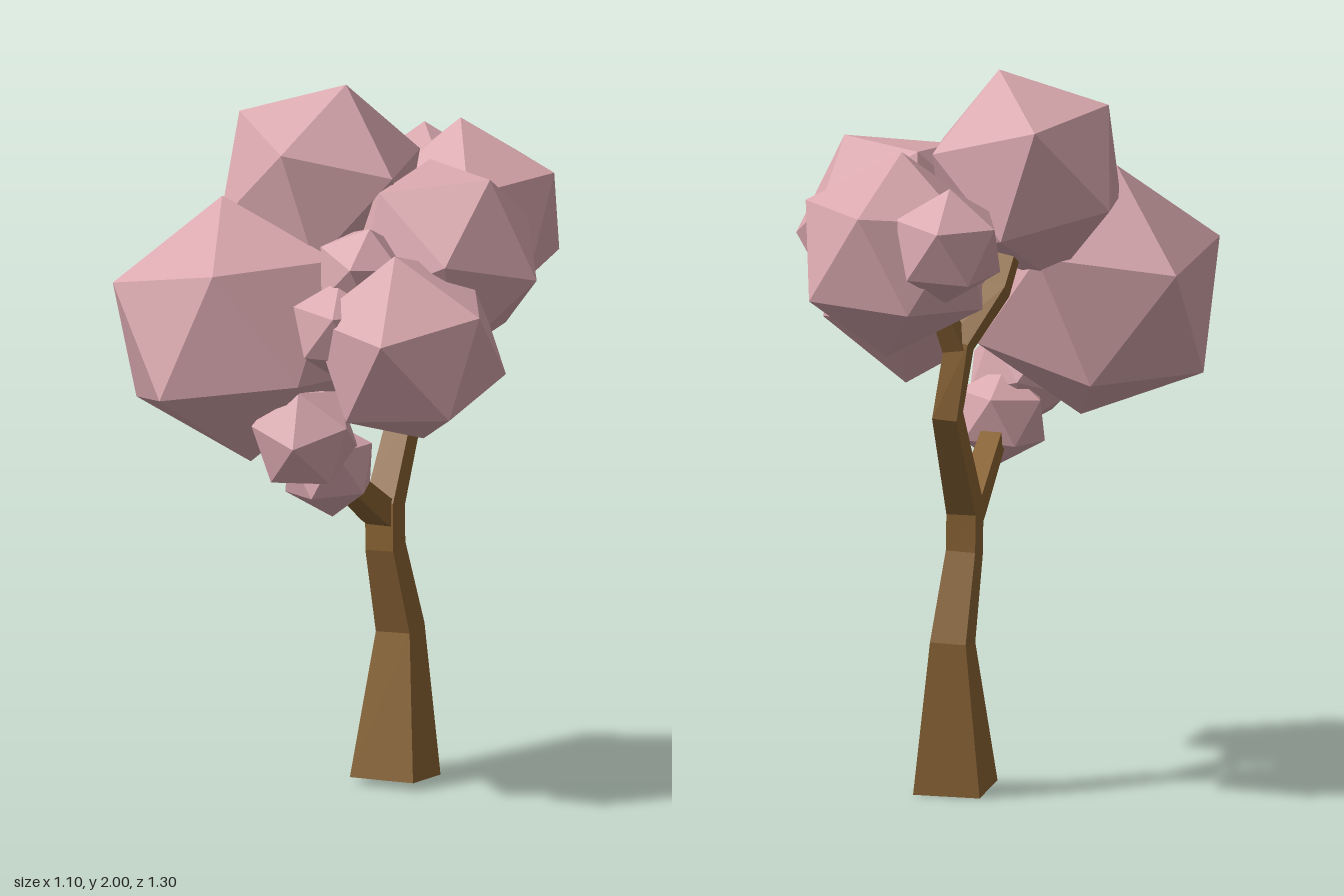
import * as THREE from 'three';

const barkMaterial = new THREE.MeshStandardMaterial({ color: 0x8b6535, flatShading: true });
const leafMaterial = new THREE.MeshStandardMaterial({ color: 0xd9a8ae, flatShading: true });

// Foliage clump: an icosahedron turned so that two neighbouring corners point along a and b
function clump(name, center, radius, a, b) {
  const va = new THREE.Vector3(...a).normalize();
  const vb = new THREE.Vector3(...b).normalize();
  const xAxis = vb.clone().sub(va).normalize();
  const yAxis = va.clone().add(vb).normalize();
  const zAxis = xAxis.clone().cross(yAxis).normalize();
  const geometry = new THREE.IcosahedronGeometry(radius, 0);
  geometry.applyMatrix4(new THREE.Matrix4().makeBasis(xAxis, yAxis, zAxis));
  const mesh = new THREE.Mesh(geometry, leafMaterial);
  mesh.name = name;
  mesh.position.set(...center);
  return mesh;
}

// Four-sided limb: sections of [x, y, z, half width], each tilted to follow the limb
function limb(name, sections) {
  const points = sections.map(s => new THREE.Vector3(s[0], s[1], s[2]));
  const last = points.length - 1;
  const positions = [];
  const indices = [];
  points.forEach((p, i) => {
    const tangent = new THREE.Vector3();
    if (i > 0) tangent.add(p.clone().sub(points[i - 1]).normalize());
    if (i < last) tangent.add(points[i + 1].clone().sub(p).normalize());
    tangent.normalize();
    const normal = new THREE.Vector3(1, 0, 0).cross(tangent).normalize();
    const side = tangent.clone().cross(normal).normalize();
    const h = sections[i][3];
    for (const [u, v] of [[1, 1], [1, -1], [-1, -1], [-1, 1]]) {
      const corner = p.clone().addScaledVector(side, u * h).addScaledVector(normal, v * h);
      positions.push(corner.x, corner.y, corner.z);
    }
  });
  for (let i = 0; i < last; i++) {
    for (let j = 0; j < 4; j++) {
      const a = i * 4 + j;
      const b = i * 4 + (j + 1) % 4;
      indices.push(a, b, b + 4, a, b + 4, a + 4);
    }
  }
  const t = last * 4;
  indices.push(0, 3, 2, 0, 2, 1, t, t + 1, t + 2, t, t + 2, t + 3);
  const geometry = new THREE.BufferGeometry();
  geometry.setAttribute('position', new THREE.Float32BufferAttribute(positions, 3));
  geometry.setIndex(indices);
  const flat = geometry.toNonIndexed();
  flat.computeVertexNormals();
  const mesh = new THREE.Mesh(flat, barkMaterial);
  mesh.name = name;
  return mesh;
}

export function createModel() {
  const tree = new THREE.Group();
  tree.name = 'tree';

  // Trunk running on into the rear branch, which leans forward into the crown
  const wood = new THREE.Group();
  wood.name = 'wood';
  wood.add(
    limb('trunk', [
      [0.05, 0.011, -0.095, 0.095],
      [0.046, 0.425, -0.138, 0.051],
      [0.03, 0.67, -0.073, 0.042],
      [0.028, 0.79, -0.075, 0.042],
      [0.03, 1.08, -0.25, 0.035],
      [0, 1.28, -0.235, 0.034],
      [-0.08, 1.42, -0.13, 0.03],
      [-0.1, 1.55, -0.03, 0.025],
    ]),
    limb('frontBranch', [
      [0.028, 0.75, -0.09, 0.038],
      [0.028, 0.79, -0.01, 0.036],
      [0.03, 0.93, 0.22, 0.03],
      [0.03, 0.98, 0.3, 0.025],
    ]),
    limb('rearTwig', [
      [0.005, 1.26, -0.235, 0.032],
      [0.05, 1.42, -0.3, 0.022],
    ]),
  );
  tree.add(wood);

  // Crown of faceted clumps
  const crown = new THREE.Group();
  crown.name = 'crown';
  crown.add(
    clump('topClump', [-0.115, 1.71, 0.045], 0.302, [0.075, 0.29, 0], [0, 0.15, 0.265]),
    clump('largeRightClump', [-0.25, 1.35, 0.31], 0.369, [-0.065, 0.36, -0.05], [0.055, 0.22, 0.29]),
    clump('upperLeftClump', [0.26, 1.545, 0.06], 0.293, [0.29, -0.035, 0.015], [0.15, 0.24, 0.03]),
    clump('frontLeftClump', [0.27, 1.35, 0.31], 0.282, [0.035, 0.05, 0.275], [-0.015, 0.265, 0.05]),
    clump('backClump', [0.15, 1.545, -0.37], 0.287, [-0.02, 0.285, 0.005], [0.035, 0.135, -0.24]),
    clump('smallBackClump', [-0.04, 1.6, -0.505], 0.165, [-0.01, 0.16, -0.015], [-0.01, 0.05, -0.15]),
    clump('lowFrontClump', [0, 1.09, 0.41], 0.158, [0.03, 0, 0.15], [0.01, 0.15, 0.07]),
    clump('lowestClump', [0.03, 0.985, 0.315], 0.14, [0.01, -0.14, 0], [0.12, -0.05, 0.04]),
    clump('innerUpperClump', [0.12, 1.54, 0.29], 0.14, [0.03, 0.13, 0.02], [0.02, 0.04, 0.13]),
    clump('innerLowerClump', [0.08, 1.4, 0.375], 0.14, [0.01, 0.14, 0], [0.04, 0.05, 0.12]),
  );
  tree.add(crown);
  return tree;
}
